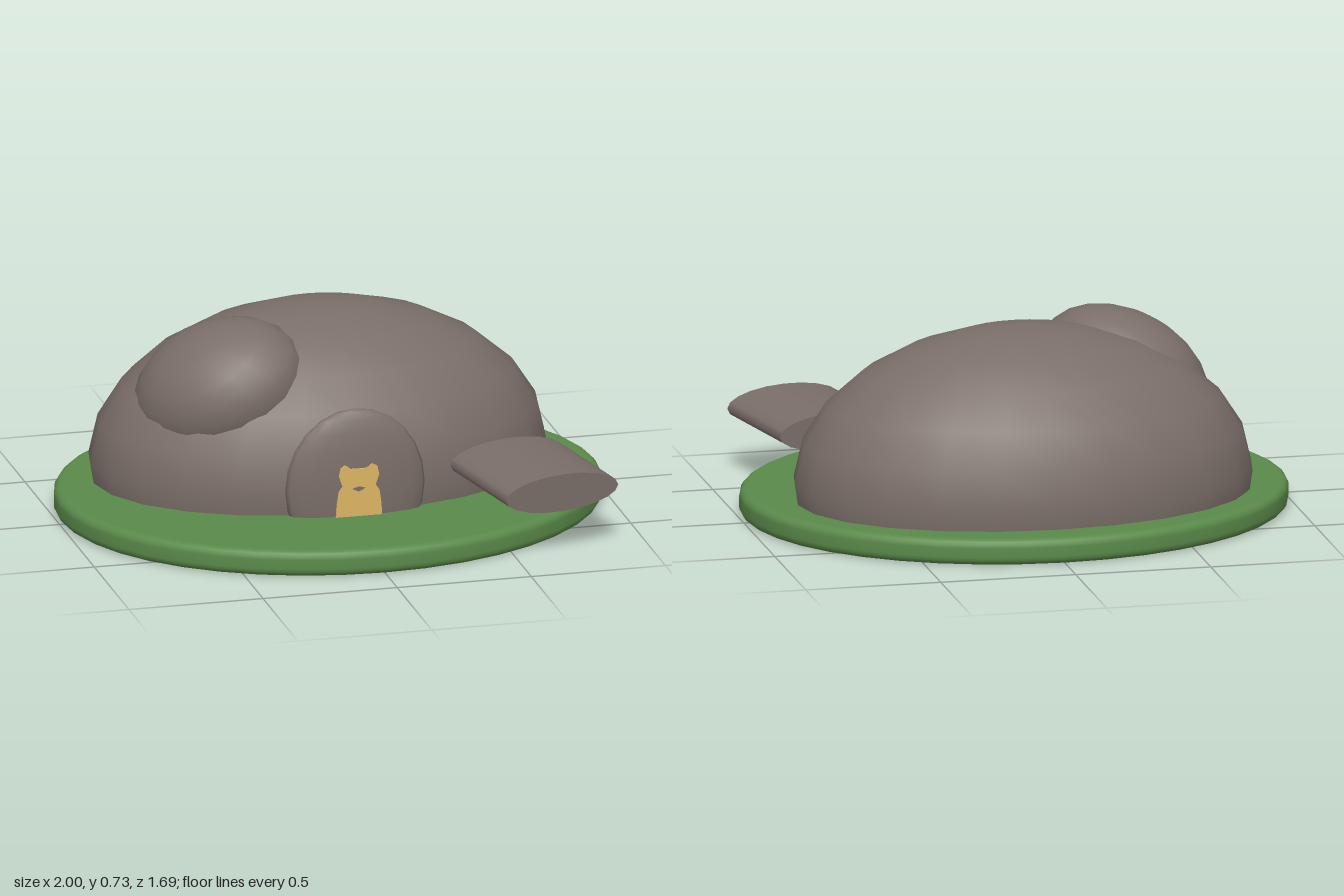
import * as THREE from 'three';

export function createModel() {
  const group = new THREE.Group();
  const material = (name, color) => {
    const m = new THREE.MeshStandardMaterial({ color });
    m.name = name;
    return m;
  };
  const stone = material('stone', 0x7a6e68);
  const grass = material('grass', 0x5a8a4a);
  const glow = material('doorYellow', 0xdcb564);

  const add = (name, geometry, mat, x, y, z) => {
    const mesh = new THREE.Mesh(geometry, mat);
    mesh.name = name;
    mesh.position.set(x, y, z);
    group.add(mesh);
    return mesh;
  };
  // ellipsoid, cut off at the given angle below its pole
  const ellipsoid = (rx, ry, rz, w, h, theta = Math.PI) =>
    new THREE.SphereGeometry(1, w, h, 0, Math.PI * 2, 0, theta).scale(rx, ry, rz);

  // oval ground with a rounded rim
  const r = 0.03, top = 0.095;
  const profile = [new THREE.Vector2(0, 0), new THREE.Vector2(1 - r - 0.004, 0)];
  for (const [cy, start] of [[r, -Math.PI / 2], [top - r, 0]]) {
    for (let i = 0; i <= 4; i++) {
      const a = start + (i / 4) * Math.PI / 2;
      profile.push(new THREE.Vector2(1 - r + r * Math.cos(a), cy + r * Math.sin(a)));
    }
  }
  profile.push(new THREE.Vector2(1 - r - 0.004, top), new THREE.Vector2(0, top));
  add('ground', new THREE.LatheGeometry(profile, 40).scale(1, 1, 0.845), grass, 0, 0, 0);

  // main boulder, cut inside the ground
  add('boulder', ellipsoid(0.845, 0.57, 0.57, 24, 7, 1.8), stone, 0, 0.15, -0.15);

  // smaller rock lying on the boulder's right shoulder
  const lump = add('shoulderRock', ellipsoid(0.33, 0.23, 0.27, 20, 12), stone, -0.405, 0.475, 0.01);
  lump.rotation.set(0.5, -0.5, 0.4, 'YZX');

  // upright flat stone around the doorway
  add('doorSlab', ellipsoid(0.26, 0.295, 0.06, 20, 8, 2.1), stone, 0, 0.19, 0.39);

  // doorway with ragged outline and a small gap
  const half = [[0.087, 0.08], [0.083, 0.14], [0.076, 0.19], [0.062, 0.21], [0.075, 0.25], [0.068, 0.28], [0.05, 0.29], [0.03, 0.275]];
  const door = new THREE.Shape([
    ...half.map(([x, y]) => new THREE.Vector2(x, y)),
    ...half.slice().reverse().map(([x, y]) => new THREE.Vector2(-x, y)),
  ]);
  door.holes.push(new THREE.Path([[-0.028, 0.2], [0, 0.208], [0.028, 0.2], [0, 0.187]].map(([x, y]) => new THREE.Vector2(x, y))));
  add('doorway', new THREE.ExtrudeGeometry(door, { depth: 0.007, bevelEnabled: false }), glow, 0, 0, 0.445);

  // flat oval stone slab at the front left
  const slab = new THREE.CylinderGeometry(1, 1, 0.46, 20).rotateX(Math.PI / 2).scale(0.225, 0.07, 1);
  add('sideSlab', slab, stone, 0.625, 0.235, 0.56).rotation.y = 0.2;

  return group;
}
